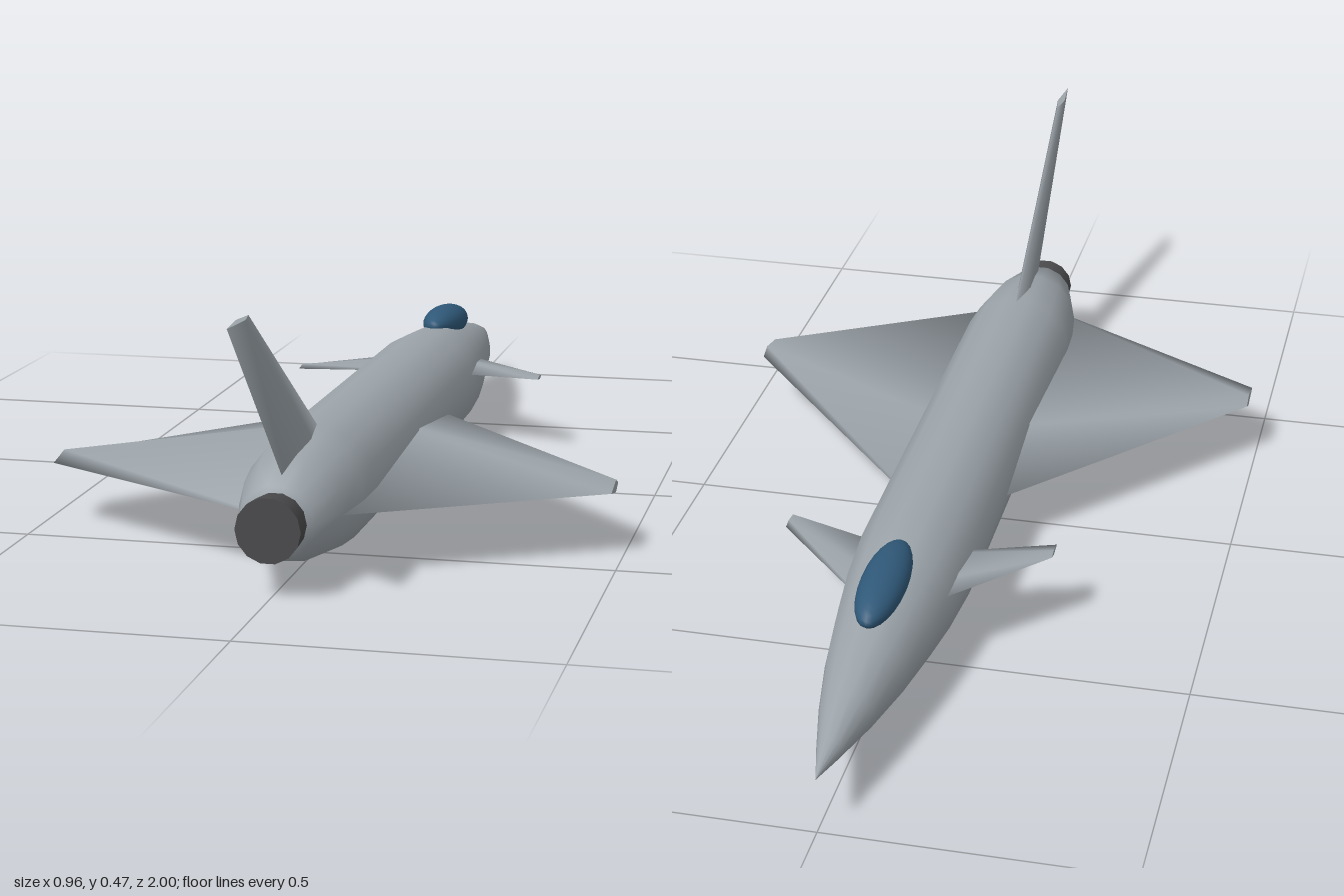
import * as THREE from 'three';

const mat = (name, color) => new THREE.MeshStandardMaterial({ name, color });

// Tapered diamond-section panel growing along +x, from a root to a tip section
function panelGeometry(root, tip, ridge) {
  const ring = ({ s, le, te, t }) => {
    const z = le + (te - le) * ridge;
    return [s, 0, le, s, t, z, s, 0, te, s, -t, z];
  };
  const tipRing = ring(tip);
  const position = [...ring(root), ...tipRing, ...tipRing]; // last ring is the flat end cap
  const index = [];
  for (let i = 0; i < 4; i++) {
    const j = (i + 1) % 4;
    index.push(i, j, j + 4, i, j + 4, i + 4);
  }
  index.push(8, 9, 10, 8, 10, 11);
  const geo = new THREE.BufferGeometry();
  geo.setAttribute('position', new THREE.Float32BufferAttribute(position, 3));
  geo.setIndex(index);
  geo.computeVertexNormals();
  return geo;
}

export function createModel() {
  const model = new THREE.Group();
  model.name = 'jetAircraft';
  const skin = mat('greySkin', 0x9ca4aa);
  const glass = mat('blueGlass', 0x2f5878);
  const metal = mat('darkMetal', 0x4a4a4c);

  const add = (name, geo, material, x, y, z, parent = model) => {
    const mesh = new THREE.Mesh(geo, material);
    mesh.name = name;
    mesh.position.set(x, y, z);
    parent.add(mesh);
    return mesh;
  };

  // Body and engine share an axis pitched very slightly nose-down
  const hull = new THREE.Group();
  hull.name = 'hull';
  hull.position.y = 0.108;
  hull.rotation.x = -0.008;
  model.add(hull);

  const SIDES = 14;
  const profile = [
    [0, -1], [0.021, -0.92], [0.045, -0.82], [0.068, -0.7], [0.085, -0.58], [0.097, -0.48],
    [0.105, -0.36], [0.105, 0.49], [0.1, 0.56], [0.088, 0.64], [0.061, 0.74], [0, 0.74],
  ].map(([r, z]) => new THREE.Vector2(r, z));
  const body = new THREE.LatheGeometry(profile, SIDES, Math.PI / SIDES).rotateX(Math.PI / 2);
  add('fuselage', body, skin, 0, 0, 0, hull);

  const nozzle = new THREE.CylinderGeometry(0.053, 0.049, 0.06, SIDES, 1, false, Math.PI / SIDES);
  add('engineNozzle', nozzle.rotateX(Math.PI / 2), metal, 0, 0, 0.76, hull);

  // Canopy bubble
  const bubble = new THREE.SphereGeometry(1, 24, 16).scale(0.039, 0.032, 0.12);
  add('canopy', bubble, glass, 0, 0.195, -0.575).rotation.x = -0.07;

  // Wings and foreplanes, with the right ones turned half a circle about z
  const wing = panelGeometry(
    { s: 0, le: -0.22, te: 0.7, t: 0.031 },
    { s: 0.48, le: 0.34, te: 0.42, t: 0.011 }, 0.32);
  const foreplane = panelGeometry(
    { s: 0, le: -0.59, te: -0.37, t: 0.008 },
    { s: 0.235, le: -0.345, te: -0.3, t: 0.004 }, 0.4);
  for (const side of ['left', 'right']) {
    const turn = (a) => (side === 'left' ? a : Math.PI - a);
    add(side + 'Wing', wing, skin, 0, 0.109, 0).rotation.z = turn(0);
    add(side + 'Foreplane', foreplane, skin, 0, 0.132, 0).rotation.z = turn(0.035);
  }

  // Swept tail fin, the same kind of panel stood upright
  const fin = panelGeometry(
    { s: 0.12, le: 0.33, te: 0.64, t: 0.014 },
    { s: 0.47, le: 0.885, te: 1, t: 0.007 }, 0.35);
  add('tailFin', fin, skin, 0, 0, 0).rotation.z = Math.PI / 2;

  return model;
}
